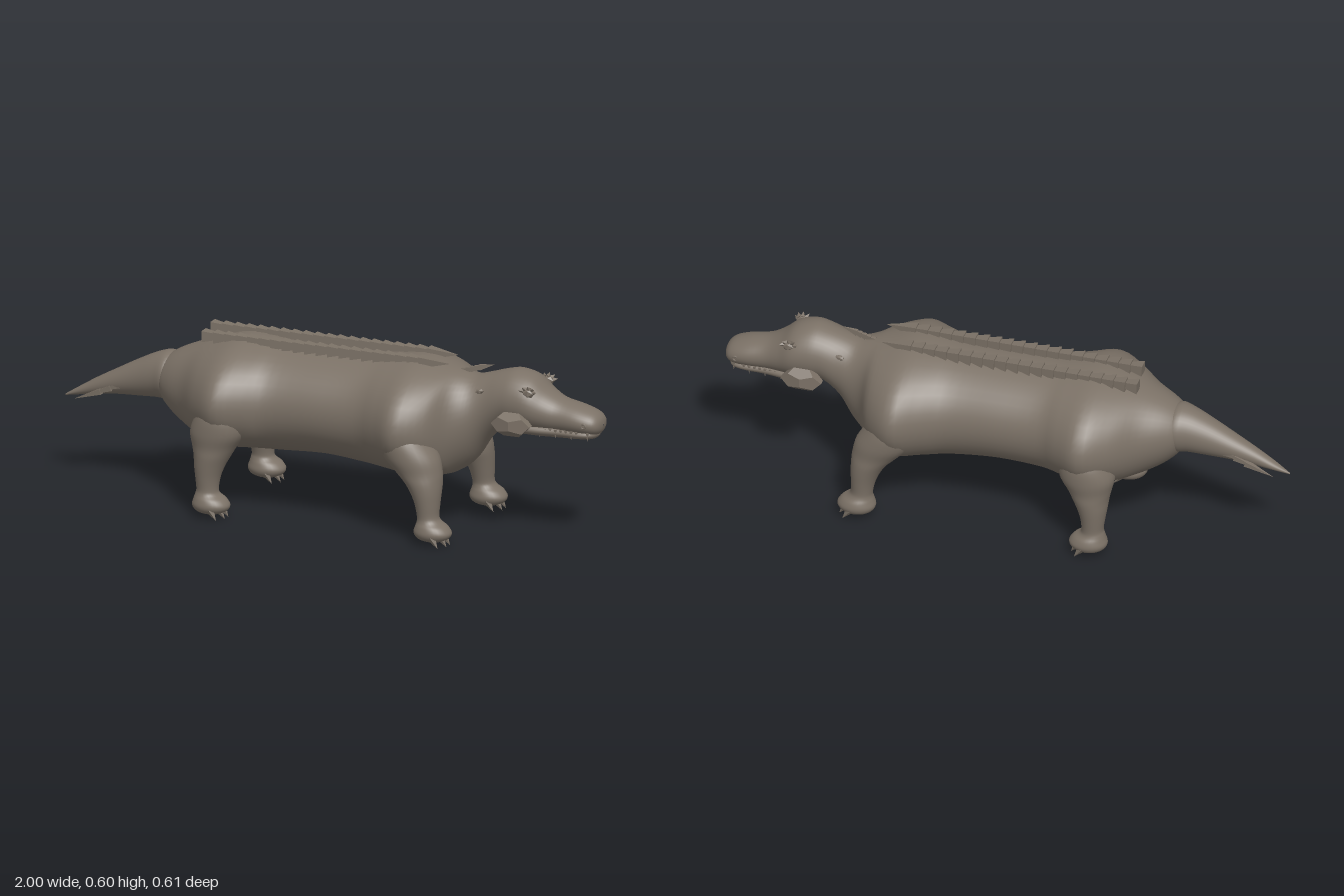
import * as THREE from 'three';

const hide = new THREE.MeshStandardMaterial({ color: 0x7b7166 });
hide.name = 'brownGreyHide';

// Smoothly interpolate rows of key numbers
function smoothRows(keys, steps) {
  const rows = [], at = i => keys[Math.min(Math.max(i, 0), keys.length - 1)];
  for (let i = 0; i < keys.length - 1; i++) {
    for (let s = 0; s < steps; s++) {
      const t = s / steps;
      rows.push(keys[i].map((b, k) => {
        const a = at(i - 1)[k], c = at(i + 1)[k], d = at(i + 2)[k];
        return b + 0.5 * t * (c - a + t * (2 * a - 5 * b + 4 * c - d + t * (3 * (b - c) + d - a)));
      }));
    }
  }
  rows.push(keys[keys.length - 1]);
  return rows;
}

// Skin closed rings (rows run along +x or downwards); point(row, cos, sin) gives each vertex
function loft(keys, point, steps = 4, sides = 40) {
  const rows = smoothRows(keys, steps), pos = [], index = [];
  rows.forEach((row, i) => {
    for (let j = 0; j < sides; j++) {
      const a = (j / sides) * Math.PI * 2;
      pos.push(...point(row, Math.cos(a), Math.sin(a)));
      if (i < rows.length - 1) {
        const p = i * sides + j, q = i * sides + (j + 1) % sides;
        index.push(p, q, p + sides, q, q + sides, p + sides);
      }
    }
  });
  const g = new THREE.BufferGeometry();
  g.setAttribute('position', new THREE.Float32BufferAttribute(pos, 3));
  g.setIndex(index);
  g.computeVertexNormals();
  return g;
}

// Ring along x from [x, top, bottom, halfWidth]
const alongX = ([x, top, bottom, w], c, s) => [x, (top + bottom) / 2 + c * (top - bottom) / 2, w * s];

function add(parent, name, geometry, x = 0, y = 0, z = 0) {
  const m = new THREE.Mesh(geometry, hide);
  m.name = name;
  m.position.set(x, y, z);
  parent.add(m);
  return m;
}

// Faceted spike from a base point to a tip
function spike(parent, name, from, to, radius, sides = 4) {
  const a = new THREE.Vector3(...from), b = new THREE.Vector3(...to);
  const dir = b.clone().sub(a), len = dir.length();
  const g = new THREE.ConeGeometry(radius, len, sides).rotateY(Math.PI / 4).translate(0, len / 2, 0).toNonIndexed();
  g.computeVertexNormals();
  const m = add(parent, name, g, ...from);
  m.quaternion.setFromUnitVectors(new THREE.Vector3(0, 1, 0), dir.normalize());
  return m;
}

export function createModel() {
  const model = new THREE.Group();
  model.name = 'armouredReptile';

  // Trunk, neck and upper head
  add(model, 'bodyAndHead', loft([
    [-0.635, 0.41, 0.40, 0.005], [-0.622, 0.47, 0.335, 0.075], [-0.58, 0.505, 0.285, 0.115],
    [-0.5, 0.54, 0.235, 0.17], [-0.42, 0.567, 0.212, 0.25], [-0.33, 0.588, 0.206, 0.306],
    [-0.24, 0.584, 0.205, 0.262], [-0.16, 0.577, 0.205, 0.222], [0, 0.575, 0.211, 0.215],
    [0.16, 0.577, 0.197, 0.222], [0.25, 0.585, 0.19, 0.262], [0.34, 0.59, 0.186, 0.306],
    [0.43, 0.572, 0.19, 0.25], [0.48, 0.56, 0.208, 0.165], [0.53, 0.55, 0.25, 0.122],
    [0.58, 0.562, 0.325, 0.1], [0.64, 0.58, 0.378, 0.1], [0.69, 0.588, 0.382, 0.105],
    [0.75, 0.572, 0.382, 0.104], [0.8, 0.532, 0.382, 0.086], [0.85, 0.504, 0.382, 0.072],
    [0.92, 0.487, 0.383, 0.072], [0.97, 0.47, 0.386, 0.062], [0.993, 0.45, 0.4, 0.04],
    [1, 0.428, 0.422, 0.002],
  ], alongX));

  // Lower jaw
  add(model, 'lowerJaw', loft([
    [0.64, 0.42, 0.4, 0.01], [0.68, 0.43, 0.371, 0.075], [0.76, 0.425, 0.366, 0.079],
    [0.85, 0.42, 0.367, 0.065], [0.93, 0.415, 0.37, 0.062], [0.972, 0.41, 0.376, 0.046],
    [0.987, 0.397, 0.39, 0.002],
  ], alongX));

  // Tail
  add(model, 'tail', loft([
    [-1, 0.293, 0.288, 0.002], [-0.95, 0.325, 0.297, 0.017], [-0.88, 0.368, 0.308, 0.03],
    [-0.8, 0.412, 0.318, 0.045], [-0.72, 0.455, 0.322, 0.06], [-0.65, 0.487, 0.326, 0.076],
    [-0.6, 0.495, 0.325, 0.088], [-0.55, 0.46, 0.36, 0.05],
  ], alongX));

  for (const side of [1, -1]) {
    // Two rows of overlapping back scutes
    const offset = side > 0 ? 0 : -0.015;
    for (let i = 0; i < 20; i++) {
      const x = -0.462 + i * 0.0423 + offset, y = 0.581 + 0.004 * i / 19;
      spike(model, 'backScute', [x, y, side * 0.055], [x + 0.11, y + 0.004, side * 0.055], 0.028);
    }

    // Spikes along the end of the tail
    for (let i = 0; i < 5; i++) {
      const x = -0.7 - i * 0.038, y = 0.395 - i * 0.0165;
      spike(model, 'tailSpike', [x, y, side * 0.036], [x - 0.1, y - 0.038, side * 0.037], 0.014);
    }

    // Faceted cheek plate
    add(model, 'cheekPlate', new THREE.DodecahedronGeometry(1), 0.703, 0.419, side * 0.107)
      .scale.set(0.077, 0.045, 0.032);

    // Eye with a spiky brow
    add(model, 'eye', new THREE.IcosahedronGeometry(1), 0.757, 0.53, side * 0.086).scale.set(0.022, 0.018, 0.013);
    for (let i = 0; i < 5; i++) {
      const a = 0.2 + i * 0.65, c = Math.cos(a), s = Math.sin(a);
      spike(model, 'browSpike', [0.755 + c * 0.018, 0.531 + s * 0.012, side * 0.084],
        [0.755 + c * 0.034, 0.531 + s * 0.025, side * 0.096], 0.01);
    }

    // Ear and nostril
    const ear = add(model, 'ear', new THREE.IcosahedronGeometry(1), 0.575, 0.515, side * 0.083);
    ear.scale.set(0.017, 0.009, 0.01);
    ear.rotation.z = 0.2;
    add(model, 'nostril', new THREE.TorusGeometry(0.008, 0.003, 6, 12), 0.952, 0.43, side * 0.066);

    // Teeth along the jaw
    for (let i = 0; i < 10; i++) {
      const x = 0.79 + i * 0.019, z = side * (i < 8 ? 0.063 - i * 0.0008 : 0.05);
      spike(model, 'tooth', [x, 0.405, z], [x, i % 3 ? 0.384 : 0.372, z * 1.02], 0.007);
    }

    // Legs flow into rounded feet: rows are [y, x, radiusX, z, radiusZ]
    for (const front of [true, false]) {
      const leg = new THREE.Group();
      leg.name = front ? 'frontLeg' : 'hindLeg';
      model.add(leg);
      const fx = front ? 0.468 : -0.355;
      const upper = front ? [
        [0.42, 0.345, 0.05, 0.2, 0.06], [0.36, 0.35, 0.085, 0.2, 0.091], [0.3, 0.375, 0.1, 0.208, 0.087],
        [0.25, 0.405, 0.083, 0.212, 0.076], [0.215, 0.425, 0.066, 0.217, 0.071], [0.18, 0.438, 0.053, 0.225, 0.06],
        [0.14, 0.446, 0.043, 0.231, 0.049], [0.1, 0.45, 0.038, 0.235, 0.041],
      ] : [
        [0.42, -0.33, 0.05, 0.2, 0.06], [0.36, -0.333, 0.085, 0.2, 0.091], [0.3, -0.342, 0.097, 0.208, 0.087],
        [0.25, -0.352, 0.078, 0.212, 0.076], [0.215, -0.358, 0.064, 0.217, 0.071], [0.18, -0.365, 0.053, 0.225, 0.06],
        [0.14, -0.369, 0.043, 0.231, 0.049], [0.1, -0.369, 0.038, 0.235, 0.041],
      ];
      const foot = [
        [0.082, fx - 0.013, 0.043, 0.236, 0.044], [0.066, fx - 0.004, 0.057, 0.237, 0.053],
        [0.045, fx, 0.067, 0.237, 0.058], [0.027, fx, 0.058, 0.237, 0.05],
        [0.016, fx, 0.034, 0.237, 0.03], [0.013, fx, 0.002, 0.237, 0.002],
      ];
      add(leg, 'limbAndFoot', loft([...upper, ...foot],
        ([y, x, rx, z, rz], c, s) => [x + rx * c, y, side * z + rz * s], 4, 28));

      // Claws
      for (let i = 0; i < 4; i++) {
        const t = (i - 1.5) / 1.5, x = fx + 0.042 - 0.022 * t * t, z = side * 0.237 + t * 0.041;
        spike(leg, 'claw', [x - 0.006, 0.036, z], [x + 0.018, 0.001, z + t * 0.005], 0.016, 5);
      }
    }
  }

  // Small crest on the nape
  for (let i = 0; i < 5; i++) {
    const x = 0.475 + i * 0.016, y = 0.553 + i * 0.005;
    spike(model, 'napeCrest', [x, y, 0], [x + 0.055, y + 0.016, 0], 0.014).scale.z = 0.7;
  }
  return model;
}
